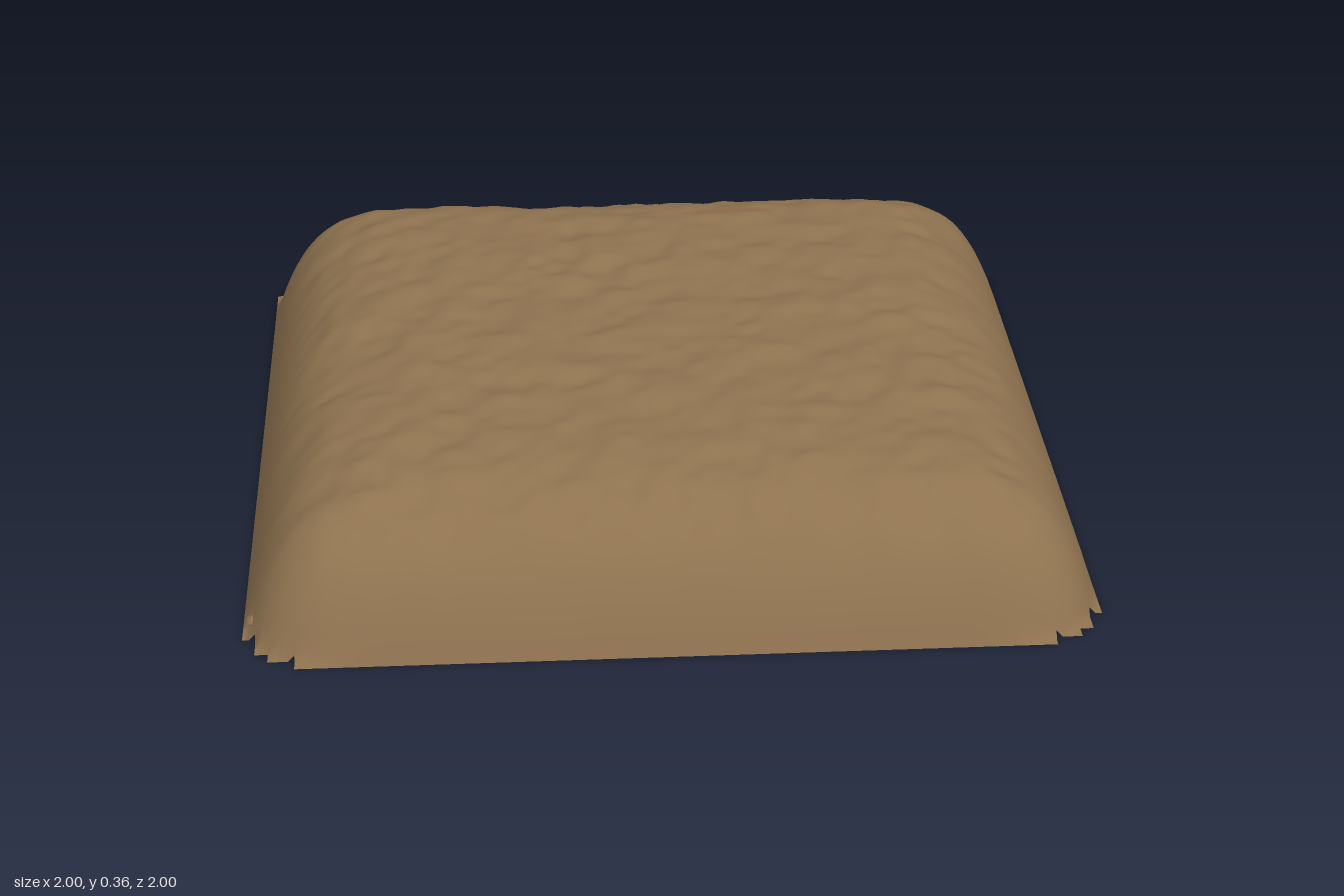
import * as THREE from 'three';

const CELLS = 128;      // height grid resolution
const BLOCK = 4;        // quarter-grid used for the stepped corner outline is CELLS / BLOCK * 2
const HEIGHT = 0.335;

// Repeatable lattice value in -1..1
function lattice(i, j) {
  let h = Math.imul(i, 374761393) + Math.imul(j, 668265263);
  h = Math.imul(h ^ (h >>> 13), 1274126177);
  return ((h ^ (h >>> 16)) >>> 0) / 2147483648 - 1;
}

// Smooth value noise
function noise(x, z) {
  const i = Math.floor(x), j = Math.floor(z);
  const u = THREE.MathUtils.smoothstep(x - i, 0, 1);
  const v = THREE.MathUtils.smoothstep(z - j, 0, 1);
  const { lerp } = THREE.MathUtils;
  return lerp(lerp(lattice(i, j), lattice(i + 1, j), u),
    lerp(lattice(i, j + 1), lattice(i + 1, j + 1), u), v);
}

// Distance inwards from the rounded square outline
function inset(x, z) {
  const qx = Math.max(Math.abs(x) - 0.6, 0), qz = Math.max(Math.abs(z) - 0.6, 0);
  return 0.4 - Math.pow(qx ** 4 + qz ** 4, 0.25);
}

// Steep sides easing into a slightly domed, lumpy top
function soilHeight(x, z) {
  const d = Math.max(inset(x, z), 0);
  const side = HEIGHT * (1 - Math.exp(-d / 0.105));
  const dome = 0.02 * (1 - x * x) * (1 - z * z);
  const lumps = 0.009 * noise(x * 10 + 40, z * 13 + 40) + 0.005 * noise(x * 21 + 90, z * 24 + 90);
  return side + dome + lumps * THREE.MathUtils.smoothstep(d, 0, 0.22);
}

// Open-bottomed shell; cells outside the outline are dropped, leaving stepped corners
function soilGeometry() {
  const positions = [], index = [], row = CELLS + 1, step = 2 / CELLS;
  for (let j = 0; j <= CELLS; j++) {
    for (let i = 0; i <= CELLS; i++) {
      const x = -1 + i * step, z = -1 + j * step;
      positions.push(x, inset(x, z) <= 0 ? 0 : soilHeight(x, z), z);
    }
  }
  const half = BLOCK / 2;
  for (let j = 0; j < CELLS; j++) {
    for (let i = 0; i < CELLS; i++) {
      const cx = -1 + (Math.floor(i / half) + 0.5) * half * step;
      const cz = -1 + (Math.floor(j / half) + 0.5) * half * step;
      if (inset(cx, cz) < -0.006) continue;
      const a = j * row + i, b = a + row;
      index.push(a, b, a + 1, a + 1, b, b + 1);
    }
  }
  const geometry = new THREE.BufferGeometry();
  geometry.setAttribute('position', new THREE.Float32BufferAttribute(positions, 3));
  geometry.setIndex(index);
  geometry.computeVertexNormals();
  return geometry;
}

export function createModel() {
  const group = new THREE.Group();
  group.name = 'soilMound';
  const soil = new THREE.MeshStandardMaterial({ color: 0x8f7350, side: THREE.DoubleSide });
  soil.name = 'soil brown';

  const mound = new THREE.Mesh(soilGeometry(), soil);
  mound.name = 'mound';
  group.add(mound);

  // Small clods around the foot: x, z, radius
  const clods = [
    [-0.87, -0.96, 0.026], [-0.92, -0.89, 0.015], [-0.93, -0.86, 0.013],
    [0.26, -0.98, 0.018], [0.69, -0.975, 0.02], [0.95, -0.87, 0.016],
    [0.975, -0.5, 0.01], [-0.98, -0.18, 0.012], [-0.975, 0.83, 0.017],
    [0.94, 0.88, 0.018], [0.84, 0.96, 0.013],
  ];
  const clodShape = new THREE.IcosahedronGeometry(1, 0);
  clods.forEach(([x, z, r], k) => {
    const clod = new THREE.Mesh(clodShape, soil);
    clod.name = 'clod' + (k + 1);
    clod.position.set(x, r + 0.006, z);
    clod.scale.set(r, r * 0.85, r);
    clod.rotation.set(k * 1.3, k * 2.1, 0);
    group.add(clod);
  });
  return group;
}
